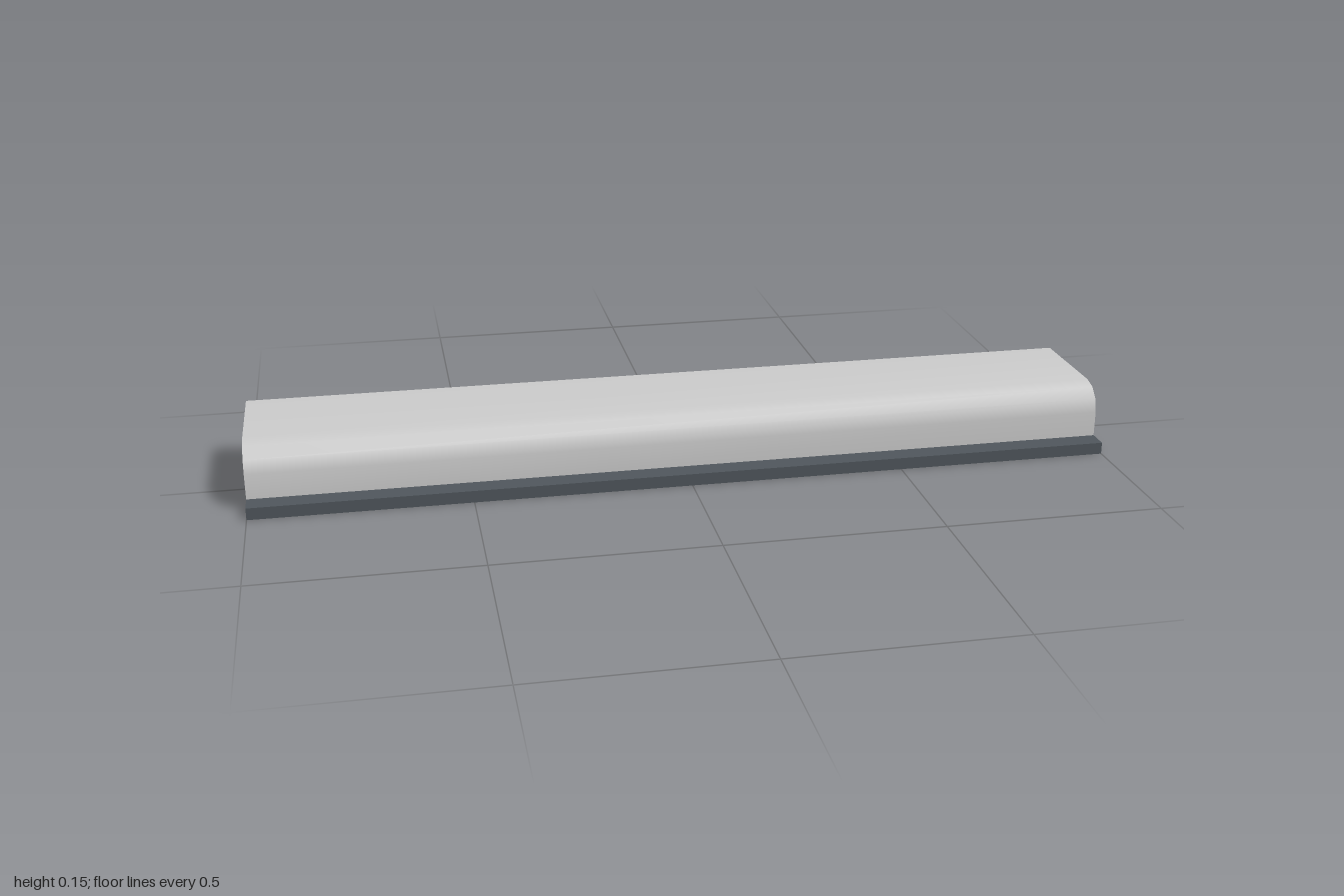
import * as THREE from 'three';
import { toCreasedNormals } from 'three/addons/utils/BufferGeometryUtils.js';

const LENGTH = 2;
const HEIGHT = 0.15;
const BACK = -0.175;
const FACE = 0.125;
const FRONT = 0.175;
const RADIUS = 0.0625;

export function createModel() {
  const model = new THREE.Group();

  // Long body: side profile with a three-step rounded front top edge
  const profile = new THREE.Shape();
  profile.moveTo(BACK, 0);
  profile.lineTo(FACE, 0);
  for (let i = 0; i <= 3; i++) {
    const a = (i / 3) * Math.PI / 2;
    profile.lineTo(
      FACE - RADIUS + RADIUS * Math.cos(a),
      HEIGHT - RADIUS + RADIUS * Math.sin(a)
    );
  }
  profile.lineTo(BACK, HEIGHT);
  profile.closePath();

  const bodyGeometry = new THREE.ExtrudeGeometry(profile, { depth: LENGTH, bevelEnabled: false });
  bodyGeometry.translate(0, 0, -LENGTH / 2);
  bodyGeometry.rotateY(-Math.PI / 2);
  const body = new THREE.Mesh(
    toCreasedNormals(bodyGeometry, 0.7),
    new THREE.MeshStandardMaterial({ color: 0xcccccc })
  );
  body.name = 'body';
  model.add(body);

  // Low dark strip along the foot of the front face
  const stripHeight = 0.028;
  const strip = new THREE.Mesh(
    new THREE.BoxGeometry(LENGTH, stripHeight, FRONT - FACE),
    new THREE.MeshStandardMaterial({ color: 0x50575d })
  );
  strip.name = 'frontStrip';
  strip.position.set(0, stripHeight / 2, (FACE + FRONT) / 2);
  model.add(strip);

  return model;
}
